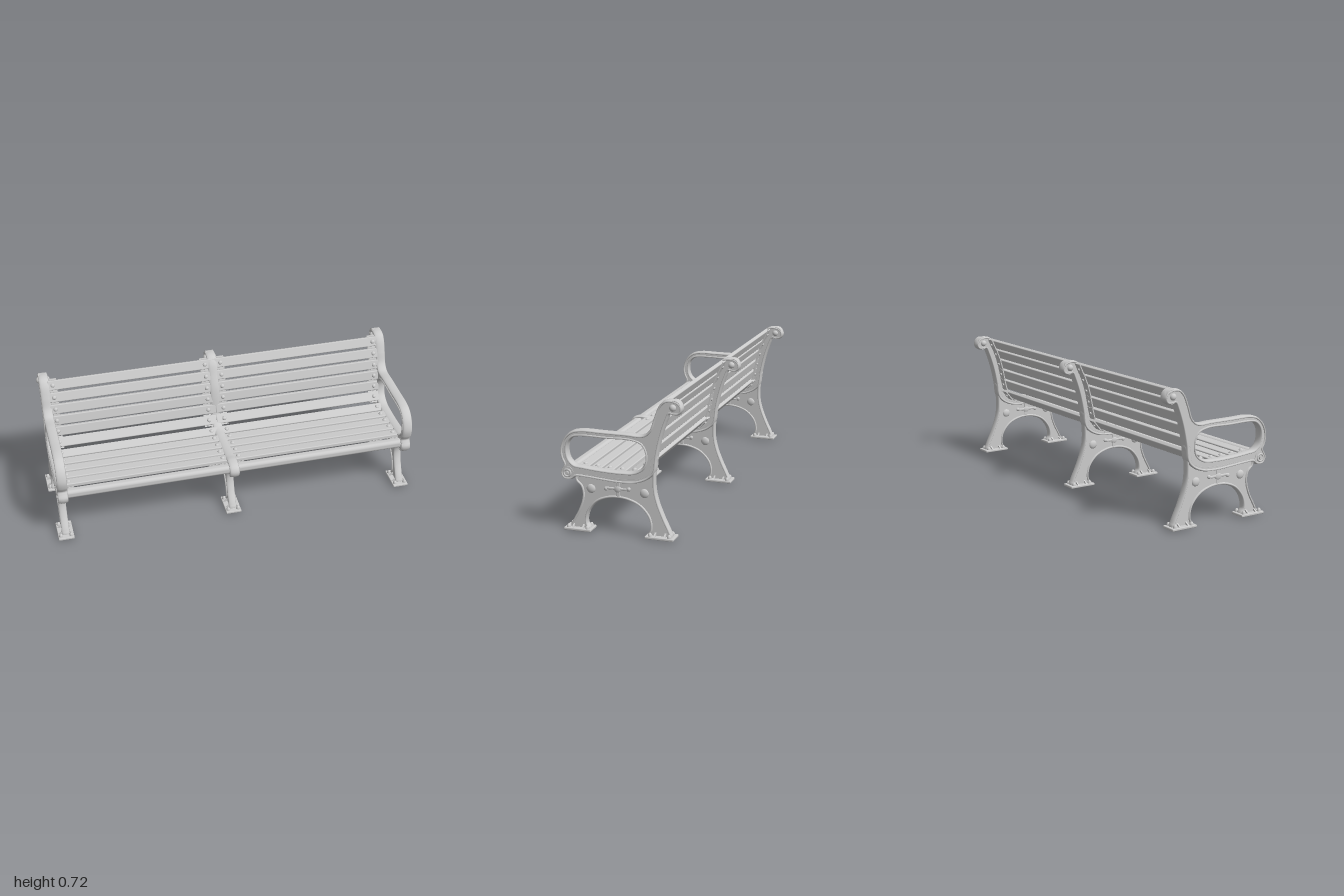
import * as THREE from 'three';
import { RoundedBoxGeometry } from 'three/addons/geometries/RoundedBoxGeometry.js';

const iron = new THREE.MeshStandardMaterial({ color: 0xcccccc });

function add(parent, name, geometry, x = 0, y = 0, z = 0) {
  const mesh = new THREE.Mesh(geometry, iron);
  mesh.name = name;
  mesh.position.set(x, y, z);
  parent.add(mesh);
  return mesh;
}

// All frame outlines are [z, y] pairs, smoothed into closed curves.
const seatUnderside = [
  [-0.205, 0.52], [-0.183, 0.42], [-0.171, 0.34], [-0.14, 0.306], [-0.08, 0.28],
  [0, 0.273], [0.1, 0.278], [0.18, 0.284], [0.24, 0.284],
];
const frontScroll = [[0.265, 0.267], [0.3, 0.268], [0.313, 0.295], [0.3, 0.322]];
const backTop = [
  [-0.156, 0.545], [-0.18, 0.61], [-0.205, 0.67], [-0.228, 0.695], [-0.262, 0.702],
  [-0.298, 0.692], [-0.312, 0.667], [-0.3, 0.645], [-0.275, 0.642], [-0.253, 0.645], [-0.235, 0.61],
];
const armTop = [
  [0.294, 0.337], [0.308, 0.368], [0.314, 0.41], [0.296, 0.465], [0.257, 0.502], [0.205, 0.515],
  [0.1, 0.515], [-0.03, 0.515], [-0.12, 0.516],
];
const seatTop = [
  [0.25, 0.333], [0.2, 0.326], [0.1, 0.318], [0, 0.316], [-0.07, 0.322], [-0.115, 0.347], [-0.133, 0.38],
];
const armHole = [
  [0.28, 0.362], [0.291, 0.41], [0.281, 0.455], [0.252, 0.485], [0.215, 0.493], [0.08, 0.493],
  [-0.06, 0.493], [-0.112, 0.475], [-0.135, 0.43], ...[...seatTop].reverse(),
];
const legs = [
  [0.235, 0.285], [0.235, 0.258], [0.211, 0.235], [0.2, 0.2], [0.203, 0.16], [0.222, 0.105], [0.258, 0.035],
  [0.265, 0.01], [0.175, 0.01], [0.189, 0.035], [0.19, 0.065], [0.175, 0.11], [0.132, 0.16], [0.075, 0.186],
  [0.018, 0.193], [-0.04, 0.186], [-0.1, 0.16], [-0.145, 0.11], [-0.158, 0.065], [-0.156, 0.035],
  [-0.145, 0.01], [-0.258, 0.01], [-0.25, 0.035], [-0.215, 0.11], [-0.186, 0.185], [-0.172, 0.25],
  [-0.173, 0.35], [-0.182, 0.42], [-0.164, 0.41], [-0.148, 0.33], [-0.1, 0.3], [0.02, 0.288], [0.15, 0.292],
];

const loop = (pts) => new THREE.CatmullRomCurve3(pts.map(([z, y]) => new THREE.Vector3(0, y, z)), true);
const flat = (pts) => loop(pts).getPoints(pts.length * 5).slice(0, -1).map((p) => new THREE.Vector2(p.z, p.y));

// Thin web filling an outline
function plate(outline, hole, thickness) {
  const shape = new THREE.Shape(flat(outline));
  if (hole) shape.holes.push(new THREE.Path(flat(hole)));
  const g = new THREE.ExtrudeGeometry(shape, { depth: thickness, bevelEnabled: false });
  return g.translate(0, 0, -thickness / 2).rotateY(-Math.PI / 2);
}

// Raised rounded edge: a tube widened across the frame
function rim(outline, halfWidth, r = 0.008) {
  return new THREE.TubeGeometry(loop(outline), outline.length * 6, r, 12, true).scale(halfWidth / r, 1, 1);
}

function dome(r, h) {
  return new THREE.SphereGeometry(r, 14, 6, 0, Math.PI * 2, 0, Math.PI / 2).scale(1, h / r, 1);
}

function makeFrame(name, x, hasArm) {
  const frame = new THREE.Group();
  frame.name = name;
  frame.position.x = x;
  const outline = hasArm
    ? [...frontScroll, ...armTop, ...backTop, ...seatUnderside]
    : [...frontScroll, ...seatTop, [-0.138, 0.43], [-0.145, 0.49], ...backTop, ...seatUnderside];
  add(frame, 'upperWeb', plate(outline, hasArm && armHole, 0.04));
  add(frame, 'upperRim', rim(outline, 0.027));
  if (hasArm) add(frame, 'armOpeningRim', rim(armHole, 0.026));
  add(frame, 'legWeb', plate(legs, null, 0.028));
  add(frame, 'legRim', rim(legs, 0.021));

  // Rolled ends at the seat front and the back top
  for (const [z, y, r] of [[0.283, 0.294, 0.034], [-0.277, 0.672, 0.036]]) {
    add(frame, 'scroll', new THREE.CylinderGeometry(r, r, 0.046, 28).rotateZ(Math.PI / 2), 0, y, z);
  }
  for (const s of [-1, 1]) {
    add(frame, 'scrollRing', new THREE.TorusGeometry(0.018, 0.005, 8, 24).rotateY(Math.PI / 2), s * 0.023, 0.294, 0.283);
    add(frame, 'scrollNut', new THREE.CylinderGeometry(0.01, 0.01, 0.012, 6).rotateZ(Math.PI / 2), s * 0.026, 0.294, 0.283);
    const side = (part, r, h, px, y, z) => add(frame, part, dome(r, h), s * px, y, z).rotation.z = -s * Math.PI / 2;
    side('scrollBoss', 0.018, 0.016, 0.022, 0.672, -0.273);
    // Raised ornament on the web
    side('webBoss', 0.024, 0.012, 0.013, 0.222, 0.16);
    side('webBoss', 0.024, 0.012, 0.013, 0.225, -0.122);
    side('ornamentCentre', 0.02, 0.009, 0.013, 0.233, 0.018);
    side('ornamentEnd', 0.011, 0.009, 0.013, 0.238, -0.04);
    side('ornamentEnd', 0.011, 0.008, 0.013, 0.23, 0.08);
    add(frame, 'ornamentBar', new RoundedBoxGeometry(0.012, 0.013, 0.12, 2, 0.005), s * 0.013, 0.234, 0.02);
    add(frame, 'ornamentPost', new RoundedBoxGeometry(0.01, 0.075, 0.022, 2, 0.004), s * 0.013, 0.232, 0.016);
  }

  // Feet with bolts and small gussets
  for (const [z, length] of [[0.228, 0.144], [-0.205, 0.15]]) {
    add(frame, 'footPlate', new RoundedBoxGeometry(0.086, 0.013, length, 2, 0.004), 0, 0.0065, z);
    for (const e of [-1, 1]) {
      for (const s of [-1, 1]) {
        add(frame, 'footBolt', dome(0.011, 0.018), s * 0.028, 0.012, z + e * 0.05);
        const gusset = add(frame, 'footGusset', new THREE.BoxGeometry(0.03, 0.008, 0.008), s * 0.024, 0.018, z + e * 0.026);
        gusset.rotation.z = -s * 0.6;
      }
    }
  }
  return frame;
}

// Slat face centres [z, y], from the seat front up to the back top
const slatPath = [
  [0.21, 0.33], [0.145, 0.325], [0.08, 0.322], [0.015, 0.321], [-0.05, 0.324], [-0.108, 0.358],
  [-0.126, 0.418], [-0.139, 0.482], [-0.154, 0.547], [-0.175, 0.611], [-0.203, 0.673],
];

export function createModel() {
  const bench = new THREE.Group();
  bench.name = 'bench';
  const endX = 0.957, midX = -0.022;
  bench.add(makeFrame('rightFrame', -endX, true));
  bench.add(makeFrame('middleFrame', midX, false));
  bench.add(makeFrame('leftFrame', endX, true));

  const spans = [[-endX + 0.015, midX], [midX, endX - 0.015]];
  const boltX = [-endX + 0.044, midX - 0.044, midX + 0.044, endX - 0.044];
  const thick = 0.022;

  for (const [a, b] of spans) {
    add(bench, 'frontRail', new RoundedBoxGeometry(b - a, 0.048, 0.048, 4, 0.018), (a + b) / 2, 0.304, 0.276);
  }
  slatPath.forEach(([z, y], i) => {
    const p = slatPath[Math.max(i - 1, 0)], n = slatPath[Math.min(i + 1, slatPath.length - 1)];
    const row = new THREE.Group();
    row.name = i < 5 ? 'seatSlatRow' : 'backSlatRow';
    row.position.set(0, y, z);
    row.rotation.x = -Math.atan2(p[1] - n[1], p[0] - n[0]);
    for (const [a, b] of spans) {
      add(row, 'slat', new RoundedBoxGeometry(b - a, thick, 0.054, 3, 0.005), (a + b) / 2, -thick / 2, 0);
    }
    // Bolts through the slats into flanges beside each frame
    for (const x of boltX) {
      add(row, 'slatBolt', dome(0.012, 0.01), x, -0.001, 0);
      add(row, 'slatFlange', new THREE.BoxGeometry(0.05, 0.008, 0.068), x, -thick - 0.002, 0);
      add(row, 'slatNut', new THREE.CylinderGeometry(0.008, 0.008, 0.008, 6), x, -thick - 0.009, 0);
    }
    bench.add(row);
  });
  return bench;
}
